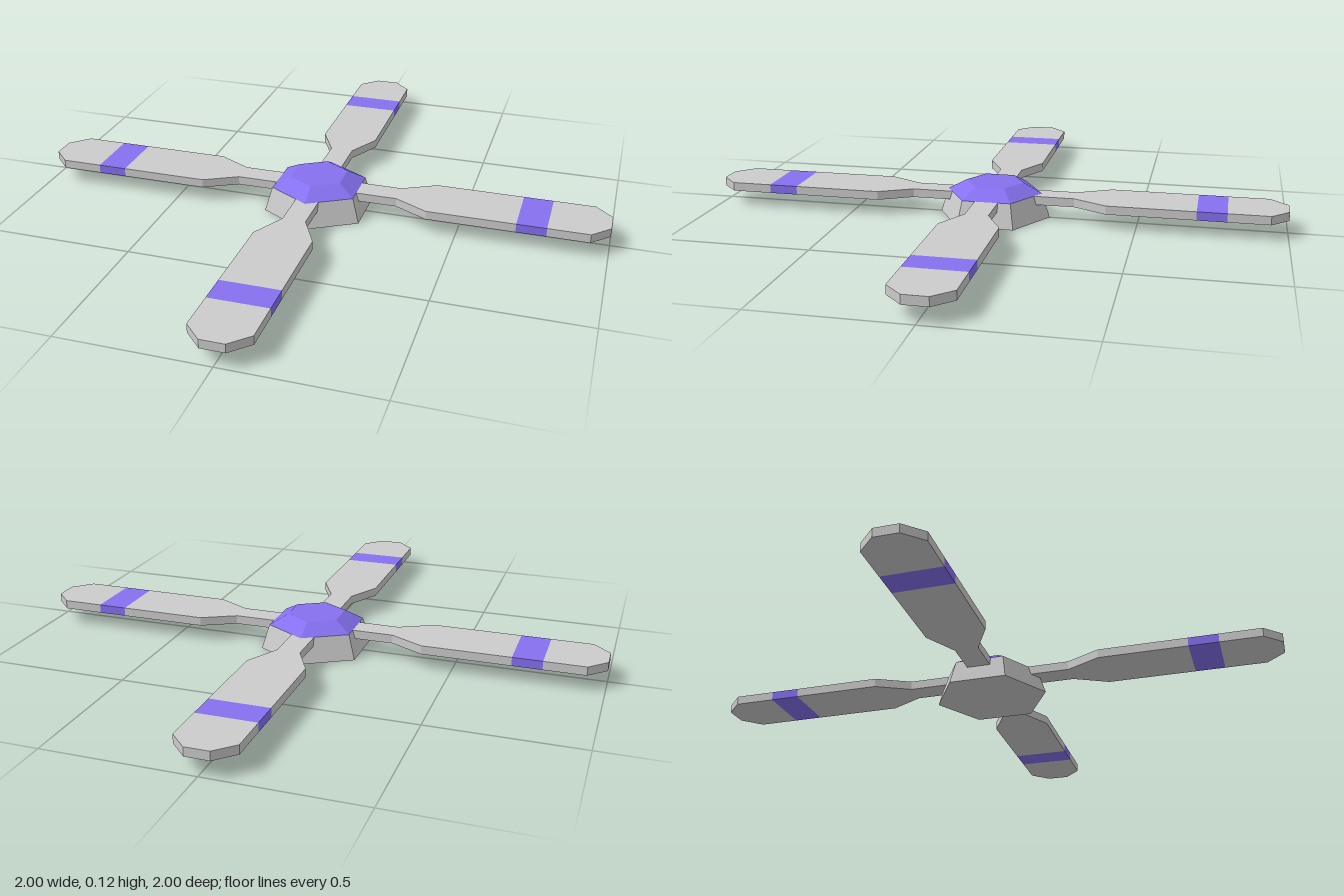
import * as THREE from 'three';

const grey = new THREE.MeshStandardMaterial({ color: 0xcccccc, flatShading: true });
const violet = new THREE.MeshStandardMaterial({ color: 0x8670f0, flatShading: true });

const BLADE_Y = 0.055, BLADE_T = 0.03;

// Flat slab along +x, mirrored about its axis, from [distance, halfWidth] pairs
function slab(name, profile, material) {
  const points = [
    ...profile.map(([x, w]) => new THREE.Vector2(x, -w)),
    ...[...profile].reverse().map(([x, w]) => new THREE.Vector2(x, w)),
  ];
  const geometry = new THREE.ExtrudeGeometry(new THREE.Shape(points), { depth: BLADE_T, bevelEnabled: false });
  geometry.rotateX(-Math.PI / 2).translate(0, BLADE_Y, 0);
  const mesh = new THREE.Mesh(geometry, material);
  mesh.name = name;
  return mesh;
}

// Six-sided tapered block with corners on the z axis
function hexBlock(name, rTop, rBottom, y0, y1, material) {
  const geometry = new THREE.CylinderGeometry(rTop, rBottom, y1 - y0, 6);
  geometry.translate(0, (y0 + y1) / 2, 0);
  const mesh = new THREE.Mesh(geometry, material);
  mesh.name = name;
  return mesh;
}

export function createModel() {
  const model = new THREE.Group();
  model.name = 'rotor';

  // Hub
  model.add(hexBlock('hubBase', 0.167, 0.195, 0, 0.085, grey));
  model.add(hexBlock('hubCap', 0.102, 0.167, 0.085, 0.12, violet));

  // Four blades, each with a flush coloured band
  for (let i = 0; i < 4; i++) {
    const blade = new THREE.Group();
    blade.name = `blade${i + 1}`;
    blade.add(slab('bladeInner', [[0.05, 0.04], [0.285, 0.04], [0.4, 0.1], [0.7, 0.1]], grey));
    blade.add(slab('bladeBand', [[0.7, 0.1], [0.8, 0.1]], violet));
    blade.add(slab('bladeTip', [[0.8, 0.1], [0.94, 0.1], [1, 0.04]], grey));
    blade.rotation.y = (i * Math.PI) / 2;
    model.add(blade);
  }
  return model;
}
